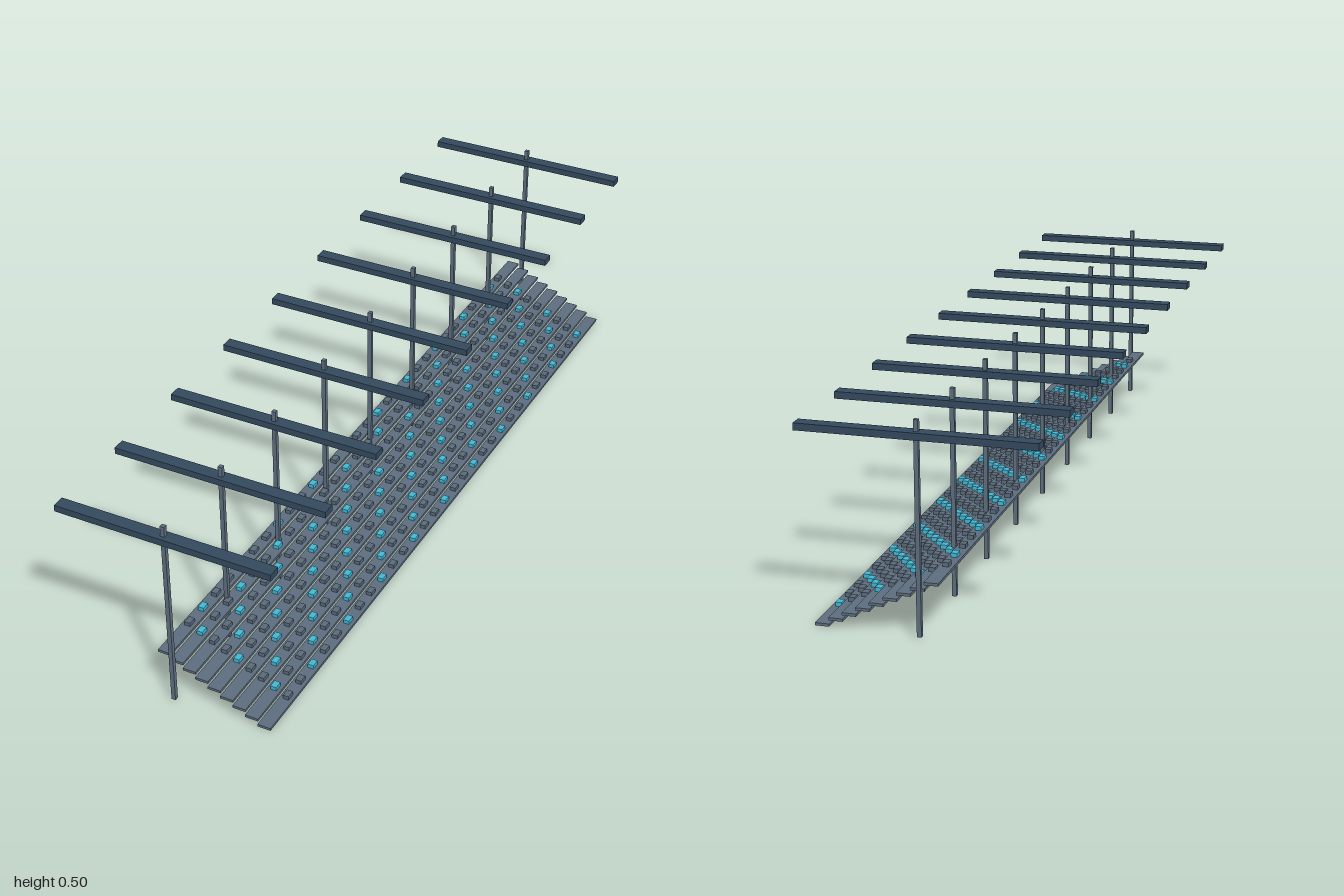
import * as THREE from 'three';

export function createModel() {
  const model = new THREE.Group();
  const mat = (name, color) => Object.assign(new THREE.MeshStandardMaterial({ color }), { name });
  const steel = mat('steel grey', 0x5d6d7e);
  const slate = mat('slate blue', 0x34495e);
  const seatGrey = mat('seat grey', 0x5a6a7a);
  const cyan = mat('cyan', 0x3fb8d4);

  const add = (parent, name, geometry, material, x, y, z) => {
    const mesh = new THREE.Mesh(geometry, material);
    mesh.name = name;
    mesh.position.set(x, y, z);
    parent.add(mesh);
  };

  // Roof frames: a slim post carrying a long cross beam
  const postGeo = new THREE.BoxGeometry(0.0105, 0.491, 0.0105);
  const beamGeo = new THREE.BoxGeometry(0.544, 0.0165, 0.032);
  for (let i = 0; i < 9; i++) {
    const frame = new THREE.Group();
    frame.name = 'roofFrame';
    frame.position.z = (i - 4) * 0.246;
    add(frame, 'post', postGeo, steel, 0, 0.2495, 0);
    add(frame, 'crossBeam', beamGeo, slate, 0, 0.4605, 0);
    model.add(frame);
  }

  // Stepped terraces falling towards +x, each with a row of seats
  const terraceGeo = new THREE.BoxGeometry(0.033, 0.0065, 1.954);
  const seatGeo = new THREE.BoxGeometry(0.0148, 0.0098, 0.021);
  for (let step = 0; step < 9; step++) {
    const row = new THREE.Group();
    row.name = 'seatingRow';
    row.position.set(-0.0245 + step * 0.0316, 0.00325 + (8 - step) * 0.0151, 0);
    add(row, 'terrace', terraceGeo, steel, 0, 0, 0);
    for (let s = 0; s < 30; s++) {
      // Every third seat is cyan, shifting by one along each row
      const accent = (step - s + 30) % 3 === 2;
      add(row, 'seat', seatGeo, accent ? cyan : seatGrey, 0, 0.00815, (s - 14.5) * 0.0597);
    }
    model.add(row);
  }
  return model;
}
